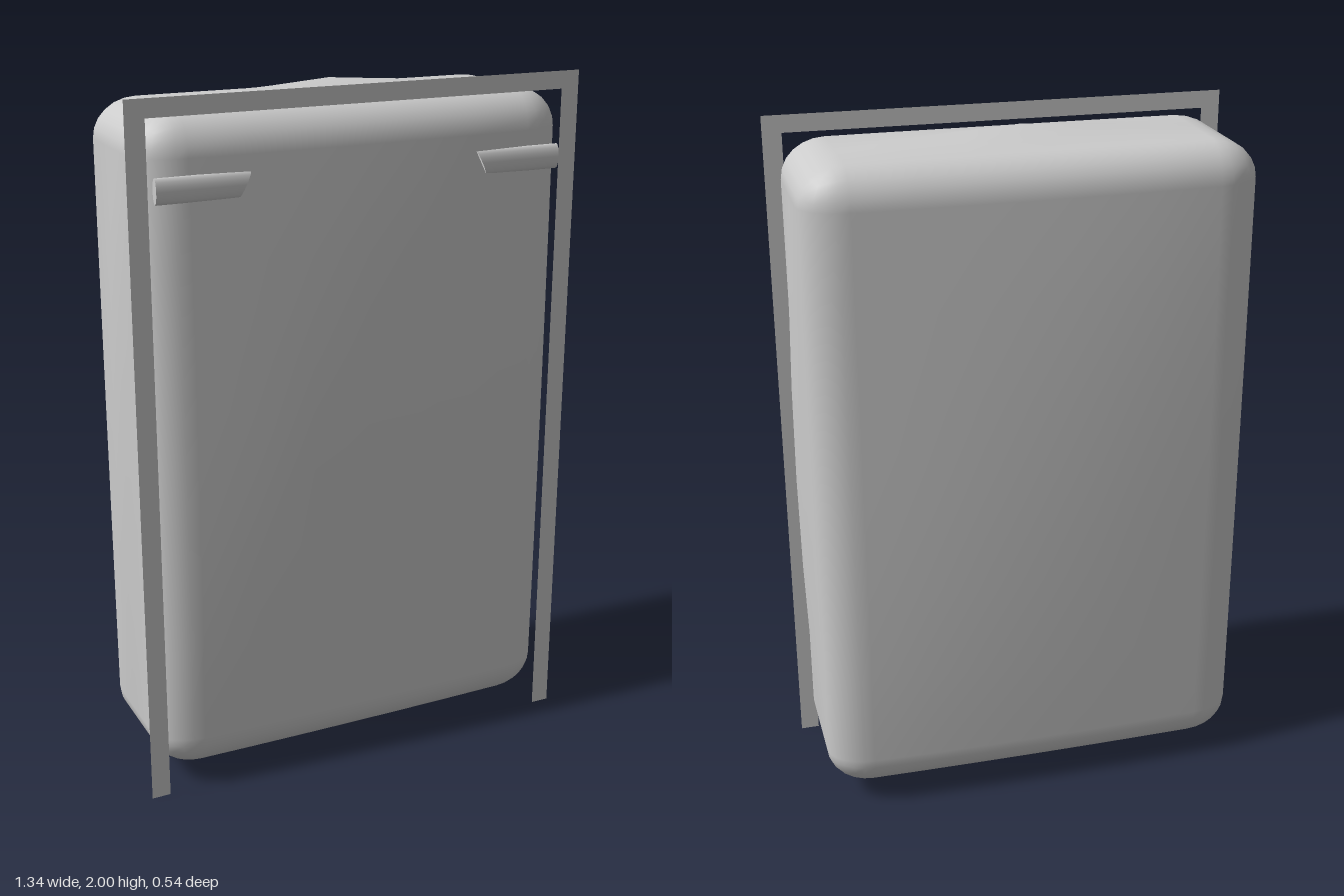
import * as THREE from 'three';
import { mergeVertices } from 'three/addons/utils/BufferGeometryUtils.js';

const material = new THREE.MeshStandardMaterial({ color: 0xcccccc, side: THREE.DoubleSide });

function part(name, geometry, x = 0, y = 0, z = 0) {
  const mesh = new THREE.Mesh(geometry, material);
  mesh.name = name;
  mesh.position.set(x, y, z);
  return mesh;
}

// Rounded, slightly inflated block: a box grid wrapped over elliptical corners
function bodyGeometry() {
  const half = [0.635, 0.95, 0.23];
  const radius = [0.13, 0.11, 0.09];
  const box = new THREE.BoxGeometry(2, 2, 2, 12, 12, 12);
  box.deleteAttribute('uv');
  box.deleteAttribute('normal');
  const geometry = mergeVertices(box);
  const pos = geometry.attributes.position;
  const n = new THREE.Vector3();
  for (let i = 0; i < pos.count; i++) {
    const t = [pos.getX(i), pos.getY(i), pos.getZ(i)];
    // q: place on the flat part of each axis, n: direction on the rounded corner
    const q = t.map((v) => THREE.MathUtils.clamp(v * 2, -1, 1));
    const bend = t.map((v) => Math.sign(v) * Math.tan(Math.max(0, Math.abs(v) * 2 - 1) * Math.PI / 4));
    n.fromArray(bend).normalize();
    const [ax, ay, az] = q.map(Math.abs);
    const bulge = [
      0.025 * (1 - ay * ay) * (1 - az),
      0.037 * (1 - ax) * (1 - az),
      0.04 * (1 - 0.6 * ax * ax) * (1 - 0.6 * ay * ay),
    ];
    const d = n.toArray();
    const p = q.map((v, k) => v * (half[k] - radius[k]) + d[k] * (radius[k] + bulge[k]));
    pos.setXYZ(i, p[0], p[1], p[2]);
  }
  geometry.computeVertexNormals();
  return geometry;
}

// Flat three-sided border, open at the bottom
function frameGeometry() {
  const points = [
    [-0.67, 0], [-0.615, 0], [-0.615, 1.95], [0.615, 1.95],
    [0.615, 0], [0.67, 0], [0.67, 2], [-0.67, 2],
  ];
  return new THREE.ShapeGeometry(new THREE.Shape(points.map(([x, y]) => new THREE.Vector2(x, y))));
}

// Flattened bar with a slanted inner end
function handleGeometry(side) {
  const geometry = new THREE.CylinderGeometry(0.035, 0.035, 1, 16);
  geometry.rotateZ(Math.PI / 2);
  geometry.scale(1, 1, 0.4);
  const pos = geometry.attributes.position;
  for (let i = 0; i < pos.count; i++) {
    const inner = pos.getX(i) * side < 0;
    pos.setX(i, side * (inner ? 0.3525 - pos.getY(i) * 0.5 : 0.6));
  }
  return geometry;
}

export function createModel() {
  const group = new THREE.Group();
  group.name = 'framedBlock';
  group.add(part('body', bodyGeometry(), 0, 1.0025, 0));
  group.add(part('frame', frameGeometry(), 0, 0, 0.228));
  group.add(part('leftHandle', handleGeometry(1), 0, 1.765, 0.238));
  group.add(part('rightHandle', handleGeometry(-1), 0, 1.765, 0.238));
  return group;
}
